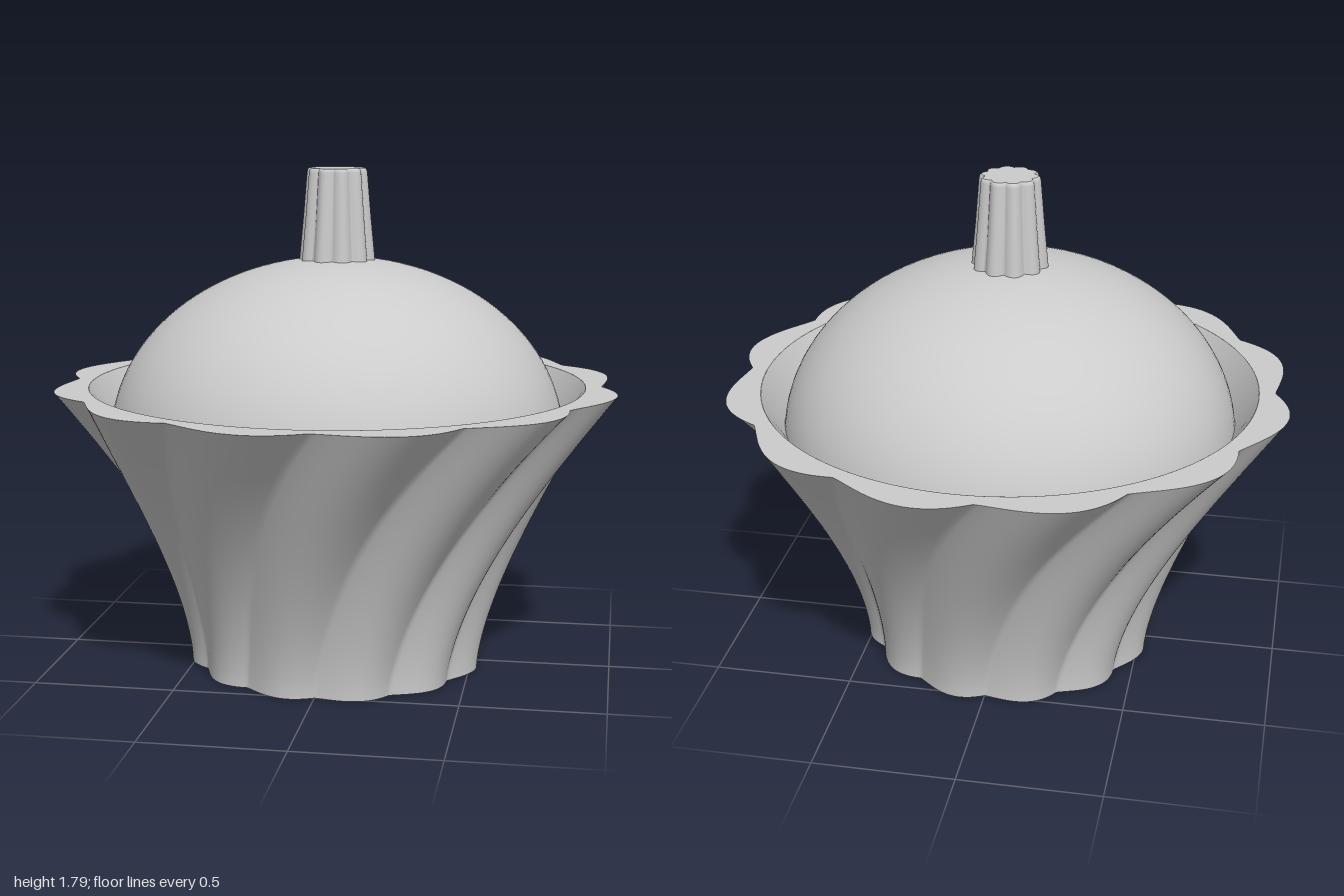
import * as THREE from 'three';

const material = new THREE.MeshStandardMaterial({ color: 0xcccccc, side: THREE.DoubleSide });
const HEIGHT = 1.02, LOBES = 12, TWIST = THREE.MathUtils.degToRad(33.6);

// Closed-ring loft: point(row, u) returns [radius, y, angle], u runs 0..1 around the axis
function loft(name, rows, segments, point) {
  const positions = [], index = [];
  for (let i = 0; i <= rows; i++) {
    for (let j = 0; j < segments; j++) {
      const [r, y, a] = point(i, j / segments);
      positions.push(r * Math.sin(a), y, r * Math.cos(a));
      if (i === rows) continue;
      const k = (j + 1) % segments;
      const p = i * segments + j, q = i * segments + k;
      index.push(p, q, q + segments, p, q + segments, p + segments);
    }
  }
  const geometry = new THREE.BufferGeometry();
  geometry.setAttribute('position', new THREE.Float32BufferAttribute(positions, 3));
  geometry.setIndex(index);
  geometry.computeVertexNormals();
  const mesh = new THREE.Mesh(geometry, material);
  mesh.name = name;
  return mesh;
}

// Leaning rounded lobes meeting in narrow valleys; 0 in a valley, 1 on a crest
const lobe = (u, count, lean) => Math.sin(Math.PI * Math.pow((u * count) % 1, lean));

// Point on the flared, twisted cup wall at height fraction t
function cupPoint(t, u, inset = 0) {
  const crest = 0.535 + 0.478 * Math.pow(t, 1.6);
  const r = crest * (0.936 + 0.064 * lobe(u, LOBES, 1.3)) - inset;
  return [r, t * HEIGHT, u * Math.PI * 2 + TWIST * Math.pow(t, 1.3)];
}

function createCup() {
  const cup = new THREE.Group();
  cup.name = 'cup';
  const around = LOBES * 24, rows = 36;

  cup.add(loft('flutedWall', rows, around, (i, u) => cupPoint(i / rows, u)));

  // Flat underside
  cup.add(loft('base', 1, around, (i, u) => {
    const [r, y, a] = cupPoint(0, u);
    return [r * i, y, a];
  }));

  // Flat rim from the scalloped edge to a round opening
  cup.add(loft('rim', 2, around, (i, u) => {
    const [r, y, a] = cupPoint(1, u);
    return [THREE.MathUtils.lerp(r, 0.89, i / 2), y, a];
  }));

  // Plain round inside
  const inside = [[0.89, HEIGHT], [0.81, 0.89], [0.68, 0.65], [0.56, 0.4], [0.48, 0.1], [0, 0.1]]
    .map(p => new THREE.Vector2(...p));
  const lining = new THREE.Mesh(new THREE.LatheGeometry(inside, 96), material);
  lining.name = 'lining';
  cup.add(lining);
  return cup;
}

function createDome() {
  const geometry = new THREE.SphereGeometry(0.815, 96, 32, 0, Math.PI * 2, 0, Math.PI / 2);
  geometry.scale(1, 0.645 / 0.815, 1);
  const dome = new THREE.Mesh(geometry, material);
  dome.name = 'dome';
  dome.position.y = 0.83;
  return dome;
}

function createStem() {
  const stem = new THREE.Group();
  stem.name = 'stem';
  const flutes = 10, around = flutes * 12;
  // Tapered profile with a small rounded top edge
  const profile = [[0.136, 1.465], [0.121, 1.62], [0.108, 1.775], [0.105, 1.785], [0.099, 1.79]];
  const ring = ([r, y], u) => [
    r * (0.86 + 0.14 * lobe(u, flutes, 1)), y,
    u * Math.PI * 2 + Math.PI / 2 - Math.PI / flutes,
  ];
  const last = profile.length - 1;
  stem.add(loft('stemSide', last, around, (i, u) => ring(profile[i], u)));
  stem.add(loft('stemTop', 1, around, (i, u) => {
    const [r, y, a] = ring(profile[last], u);
    return [r * (1 - i), y, a];
  }));
  stem.add(loft('stemUnderside', 1, around, (i, u) => {
    const [r, y, a] = ring(profile[0], u);
    return [r * i, y, a];
  }));
  return stem;
}

export function createModel() {
  const model = new THREE.Group();
  model.name = 'flutedCupWithDome';
  model.add(createCup(), createDome(), createStem());
  return model;
}
